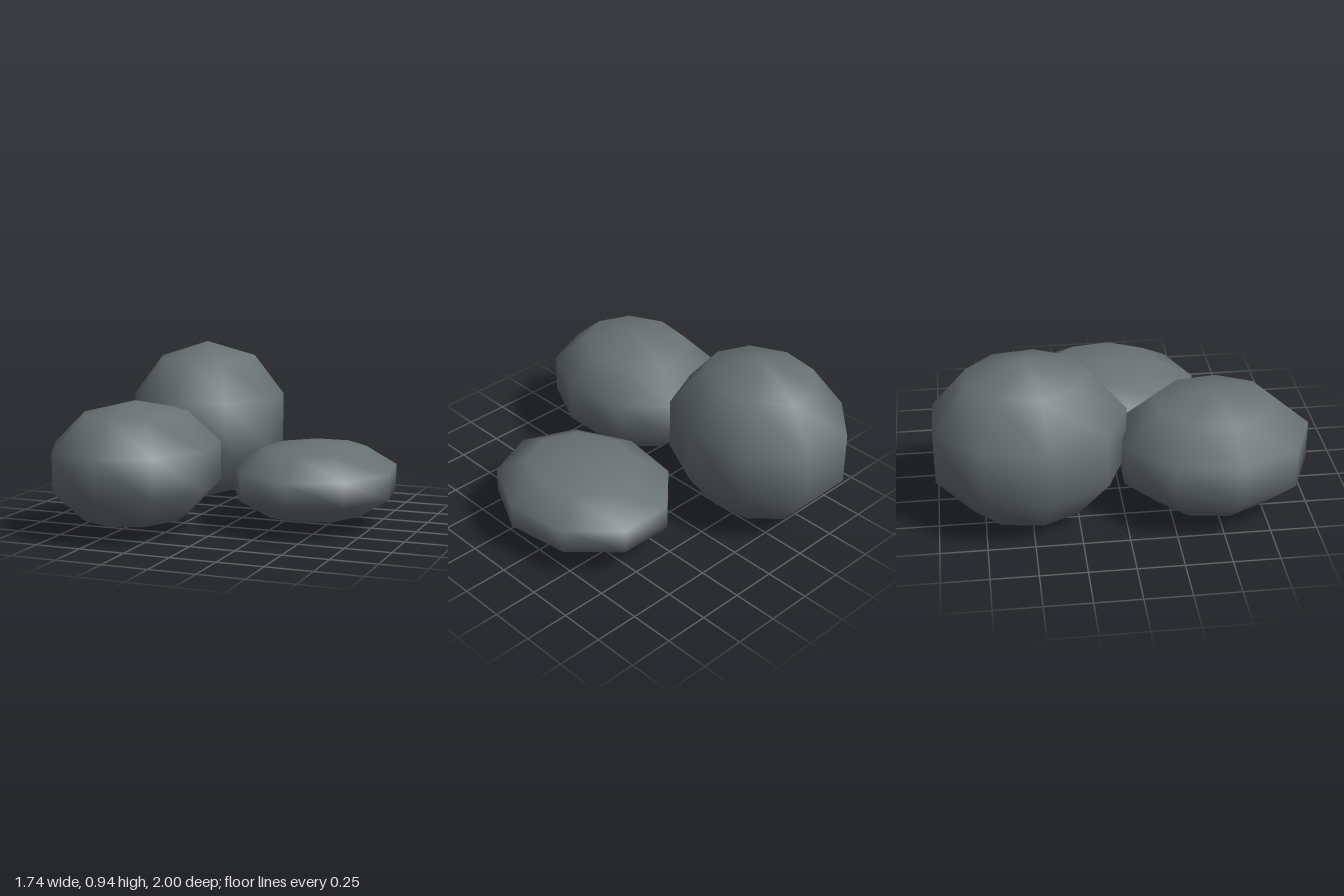
import * as THREE from 'three';

export function createModel() {
  const group = new THREE.Group();
  const stone = new THREE.MeshStandardMaterial({ color: 0x697274 });
  stone.name = 'stone grey';

  // Nine-sided, five-ring smooth boulder with a corner pointing to the front
  const boulder = new THREE.SphereGeometry(1, 9, 5, Math.PI / 2);

  const addRock = (name, position, radii) => {
    const rock = new THREE.Mesh(boulder, stone);
    rock.name = name;
    rock.position.set(...position);
    rock.scale.set(...radii);
    group.add(rock);
  };

  // Same footprint, three different heights
  addRock('tallRock', [-0.42, 0.473, -0.508], [0.47, 0.47, 0.55]);
  addRock('mediumRock', [-0.43, 0.36, 0.477], [0.47, 0.345, 0.55]);
  addRock('flatRock', [0.425, 0.249, -0.01], [0.47, 0.219, 0.55]);

  return group;
}
